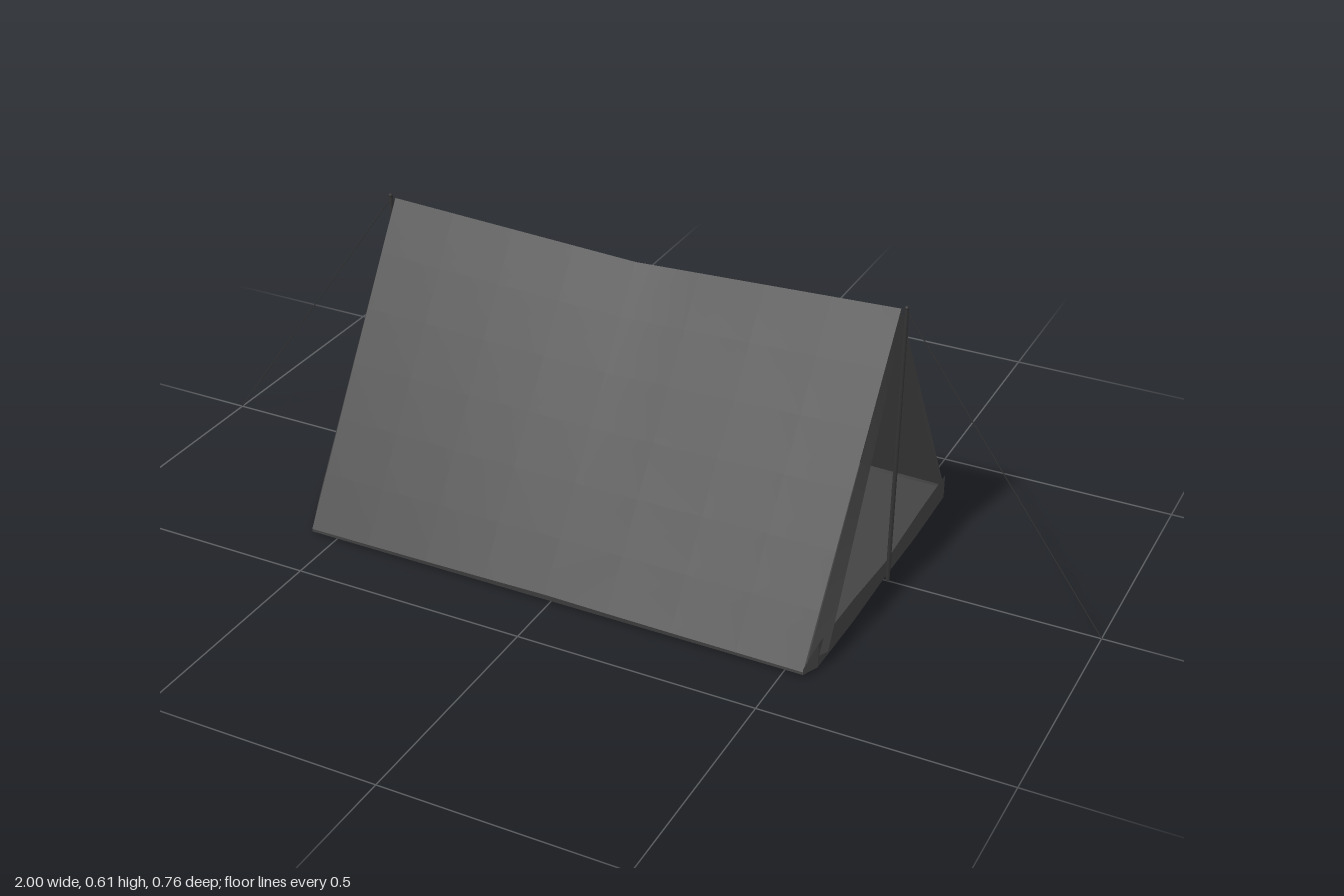
import * as THREE from 'three';
import { ParametricGeometry } from 'three/addons/geometries/ParametricGeometry.js';

const cloth = new THREE.MeshStandardMaterial({ color: 0x444444, side: THREE.DoubleSide });
const dark = new THREE.MeshStandardMaterial({ color: 0x333333 });

const BACK = -0.555, FRONT = 0.54, APEX = 0.605, HALF = 0.375, FLOOR = 0.006;
// Base outline of the rounded closed end, as [x, z]
const BACK_ARC = [[BACK, HALF], [-0.61, 0.27], [-0.65, 0.17], [-0.682, 0.085], [-0.7, 0],
  [-0.682, -0.085], [-0.65, -0.17], [-0.61, -0.27], [BACK, -HALF]];
// Base outline of the open end, as [x, z, height of the sill]
const SILL = [[FRONT, HALF, 0.018], [0.555, 0.34, 0.06], [0.558, 0.17, 0.06], [0.556, 0, 0.043],
  [0.558, -0.17, 0.06], [0.555, -0.34, 0.06], [FRONT, -HALF, 0.018]];

export function createModel() {
  const tent = new THREE.Group();
  tent.name = 'tent';

  const add = (name, geometry, material = cloth) => {
    const mesh = new THREE.Mesh(geometry, material);
    mesh.name = name;
    tent.add(mesh);
    return mesh;
  };

  // Cloth sheet from a rule point(u, v) -> [x, y, z]
  const sheet = (name, point, cols, rows) =>
    add(name, new ParametricGeometry((u, v, p) => p.set(...point(u, v)), cols, rows));

  // Straight round rod between two points
  const rod = (name, a, b, radius, sides = 8) => {
    const from = new THREE.Vector3(...a), to = new THREE.Vector3(...b);
    add(name, new THREE.TubeGeometry(new THREE.LineCurve3(from, to), 1, radius, sides, false), dark);
  };

  // Roof slopes: the ridge sags in the middle, the hem lifts and bows out slightly
  for (const s of [1, -1]) {
    sheet(s > 0 ? 'frontRoofSlope' : 'backRoofSlope', (u, v) => {
      const middle = 1 - Math.abs(2 * u - 1);
      const right = THREE.MathUtils.lerp(0.555, FRONT, v);
      const top = APEX - 0.025 * middle;
      const hem = 0.012 + 0.008 * middle;
      return [THREE.MathUtils.lerp(BACK, right, u), THREE.MathUtils.lerp(top, hem, v),
        s * v * (HALF + 0.004 * Math.min(1, middle * 1.6))];
    }, 8, 6);
  }

  // Rounded closed end, narrowing to the ridge
  const n = BACK_ARC.length - 1;
  sheet('closedEndWall', (u, v) => {
    const [x, z] = BACK_ARC[Math.round(u * n)];
    return [THREE.MathUtils.lerp(BACK, x, v), THREE.MathUtils.lerp(APEX, 0.01, v), z * v];
  }, n, 6);

  // Ground sheet
  const outline = [...BACK_ARC, ...[...SILL].reverse()].map(([x, z]) => new THREE.Vector2(x, -z));
  const floor = new THREE.ShapeGeometry(new THREE.Shape(outline));
  floor.rotateX(-Math.PI / 2);
  add('groundSheet', floor).position.y = FLOOR;

  // Narrow skirt joining the roof hem to the ground sheet
  for (const s of [1, -1]) {
    sheet(s > 0 ? 'frontSkirt' : 'backSkirt', (u, v) => {
      const middle = 1 - Math.abs(2 * u - 1);
      return [THREE.MathUtils.lerp(BACK, FRONT, u),
        THREE.MathUtils.lerp(FLOOR, 0.012 + 0.008 * middle, v),
        s * (HALF + v * 0.004 * Math.min(1, middle * 1.6))];
    }, 8, 1);
  }

  // Raised sill across the doorway
  const m = SILL.length - 1;
  sheet('doorSill', (u, v) => {
    const [x, z, h] = SILL[Math.round(u * m)];
    return [x, THREE.MathUtils.lerp(FLOOR, h, v), z];
  }, m, 1);

  // Door borders: hem strips along both sloping edges of the opening
  for (const s of [1, -1]) {
    sheet(s > 0 ? 'leftDoorBorder' : 'rightDoorBorder', (u, v) => {
      const outer = [THREE.MathUtils.lerp(0.555, 0.543, u),
        THREE.MathUtils.lerp(APEX, 0.03, u), u * 0.362];
      const inner = [THREE.MathUtils.lerp(0.557, 0.565, u),
        THREE.MathUtils.lerp(0.548, 0.03, u), u * 0.316];
      const p = outer.map((c, i) => THREE.MathUtils.lerp(c, inner[i], v));
      return [p[0], p[1], s * p[2]];
    }, 6, 2);
  }

  // Upright poles with small tips, and guy lines to the ground
  for (const s of [1, -1]) {
    const side = s > 0 ? 'doorEnd' : 'closedEnd';
    rod(side + 'Pole', [s * 0.562, 0.002, 0], [s * 0.566, 0.607, 0], 0.0045);
    const tip = add(side + 'PoleTip', new THREE.SphereGeometry(0.0045, 8, 6), dark);
    tip.position.set(s * 0.566, 0.609, 0);
    rod(side + 'GuyLine', [s * 0.566, 0.602, 0], [s, 0, 0], 0.0012, 5);
  }

  return tent;
}
